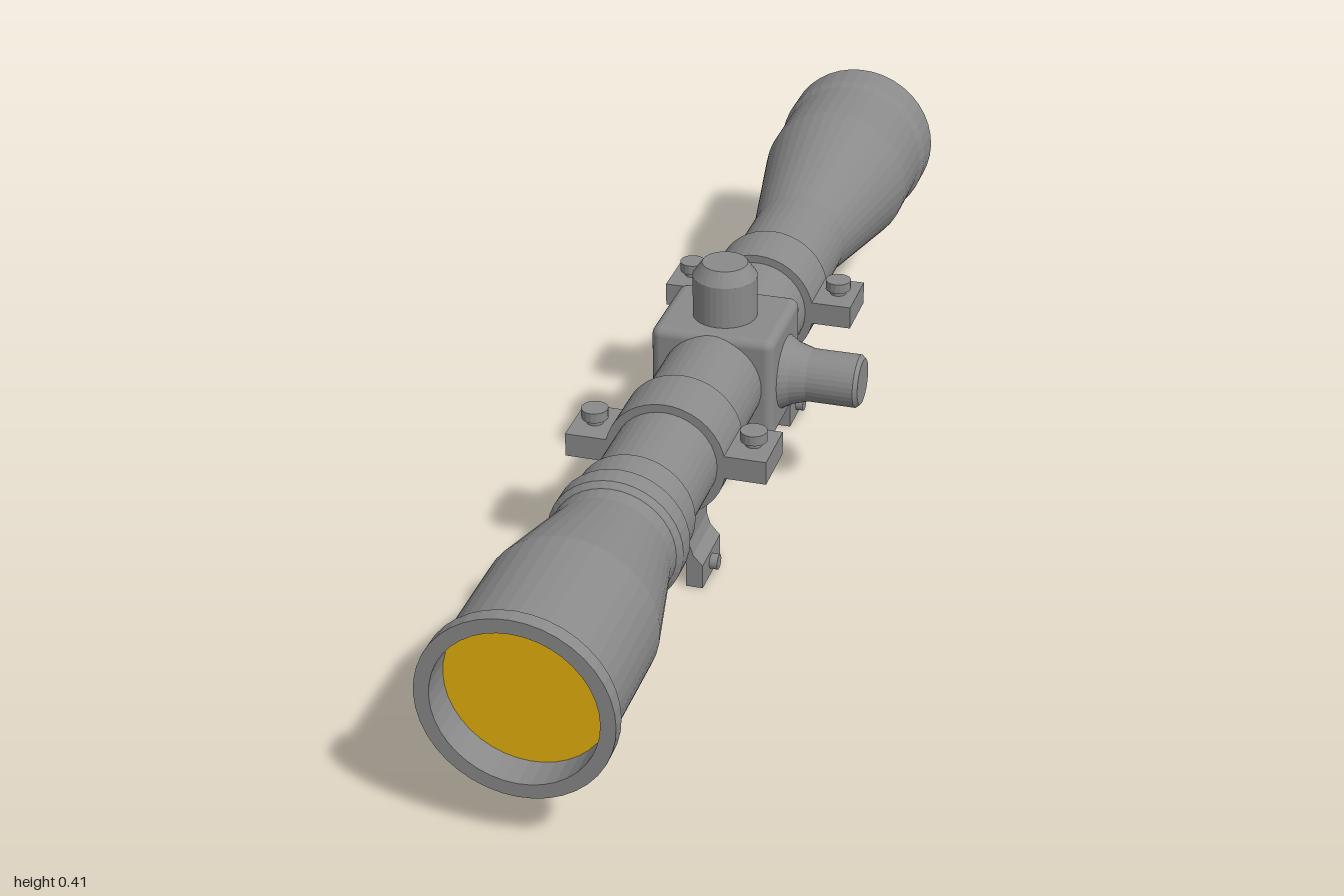
import * as THREE from 'three';
import { RoundedBoxGeometry } from 'three/addons/geometries/RoundedBoxGeometry.js';

const AX = -0.037, AY = 0.23; // optical axis
const METAL = 0x8a8a8a;
const metal = new THREE.MeshStandardMaterial({ color: METAL, flatShading: true });
const smoothMetal = new THREE.MeshStandardMaterial({ color: METAL });
const amber = new THREE.MeshStandardMaterial({ color: 0xe6b20c });

function add(parent, name, geometry, x = 0, y = 0, z = 0, material = metal) {
  const mesh = new THREE.Mesh(geometry, material);
  mesh.name = name;
  mesh.position.set(x, y, z);
  parent.add(mesh);
}

// Lathe from [radius, height] pairs
const lathe = (pairs, segments = 40) =>
  new THREE.LatheGeometry(pairs.map(([r, h]) => new THREE.Vector2(r, h)), segments);

// Ring clamp with bolted ears and a two-legged rail foot, centred on the axis
function createMount() {
  const mount = new THREE.Group();
  const depth = 0.1;
  add(mount, 'clampRing', new THREE.CylinderGeometry(0.1, 0.1, depth, 40).rotateX(Math.PI / 2));

  for (const side of [-1, 1]) {
    // Ears: solid upper half resting on a drilled lower half
    add(mount, 'upperEar', new THREE.BoxGeometry(0.08, 0.02, depth), side * 0.126, 0.012, 0);
    const ear = new THREE.Shape();
    ear.moveTo(-0.04, -0.05).lineTo(0.04, -0.05).lineTo(0.04, 0.05).lineTo(-0.04, 0.05).closePath();
    ear.holes.push(new THREE.Path().absarc(side * 0.005, 0, 0.018, 0, Math.PI * 2, true));
    const earGeometry = new THREE.ExtrudeGeometry(ear, { depth: 0.02, bevelEnabled: false, curveSegments: 8 });
    add(mount, 'lowerEar', earGeometry.rotateX(-Math.PI / 2), side * 0.126, -0.018, 0);
    // Clamp screw: shank and wider head
    add(mount, 'clampScrew',
      lathe([[0.014, 0.02], [0.014, 0.028], [0.022, 0.031], [0.022, 0.048], [0, 0.048]], 16), side * 0.132, 0, 0);
  }

  // Foot outline: right half, mirrored for the left
  const half = [[0.048, -0.07], [0.039, -0.115], [0.039, -0.15], [0.045, -0.17],
    [0.061, -0.188], [0.061, -AY], [0.033, -AY], [0.033, -0.187]];
  const outline = [...half, ...half.map(([x, y]) => [-x, y]).reverse()];
  const footShape = new THREE.Shape(outline.map(([x, y]) => new THREE.Vector2(x, y)));
  add(mount, 'railFoot', new THREE.ExtrudeGeometry(footShape, { depth, bevelEnabled: false }), 0, 0, -depth / 2);
  add(mount, 'railScrew', new THREE.CylinderGeometry(0.013, 0.013, 0.05, 16).rotateZ(Math.PI / 2), 0.049, -0.208, 0);
  return mount;
}

export function createModel() {
  const model = new THREE.Group();
  model.name = 'telescopicSight';

  // Main tube, both bells and their recessed mouths
  const tube = lathe([
    [0.117, -0.91], [0.119, -1], [0.142, -1], [0.142, -0.94], [0.136, -0.925], [0.136, -0.8],
    [0.086, -0.53], [0.086, 0.445], [0.092, 0.445], [0.097, 0.452], [0.097, 0.508],
    [0.102, 0.51], [0.108, 0.517], [0.108, 0.552], [0.102, 0.56], [0.1, 0.562], [0.1, 0.59],
    [0.136, 0.76], [0.136, 0.972], [0.148, 0.976], [0.148, 1], [0.125, 1], [0.125, 0.94],
  ]);
  add(model, 'tube', tube.rotateX(Math.PI / 2), AX, AY, 0);

  // Lenses
  add(model, 'frontLens', new THREE.CircleGeometry(0.126, 40), AX, AY, 0.945, amber);
  add(model, 'rearLens', new THREE.CircleGeometry(0.119, 40).rotateY(Math.PI), AX, AY, -0.915, amber);

  // Turret block with top and side knobs
  add(model, 'turretBlock', new RoundedBoxGeometry(0.21, 0.186, 0.178, 3, 0.016), AX, 0.226, -0.052, smoothMetal);
  add(model, 'topKnob', lathe([[0.054, 0.3], [0.054, 0.392], [0.038, 0.415], [0, 0.415]], 32), AX, 0, -0.047);
  const sideKnob = lathe([
    [0.066, 0.05], [0.064, 0.066], [0.053, 0.085], [0.045, 0.112], [0.045, 0.193], [0.039, 0.2], [0, 0.2],
  ], 32);
  add(model, 'sideKnob', sideKnob.rotateZ(-Math.PI / 2), 0, 0.223, -0.05);

  // Mounts
  [['frontMount', 0.247], ['rearMount', -0.298]].forEach(([name, z]) => {
    const mount = createMount();
    mount.name = name;
    mount.position.set(AX, AY, z);
    model.add(mount);
  });
  return model;
}
